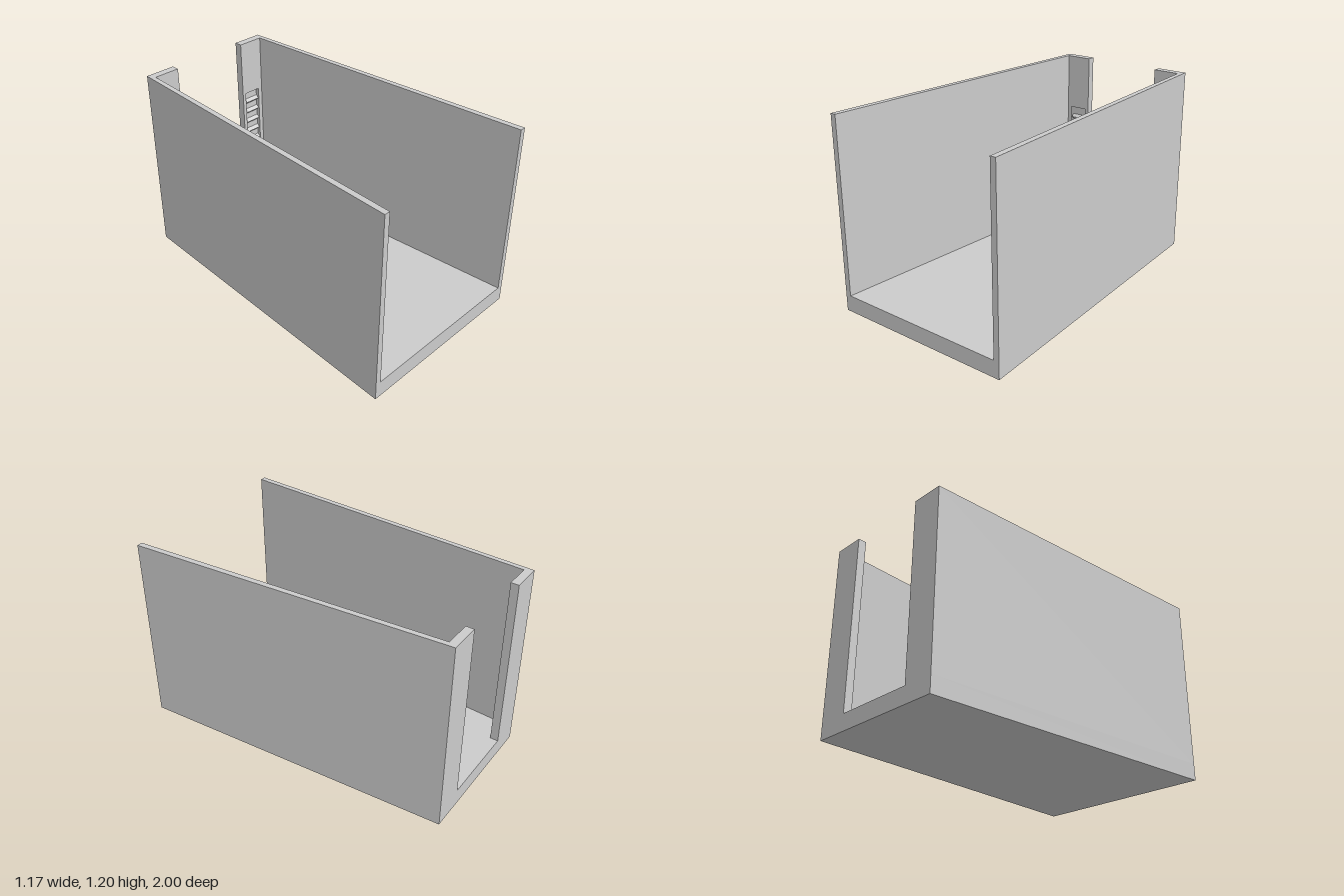
import * as THREE from 'three';

const HEIGHT = 1.195, FLOOR = 0.103;
const material = new THREE.MeshStandardMaterial({ color: 0xcccccc, flatShading: true });

const polygon = (points) => new THREE.Shape(points.map(([x, y]) => new THREE.Vector2(x, y)));
const extrude = (shape, depth) => new THREE.ExtrudeGeometry(shape, { depth, bevelEnabled: false });

// Extrude a plan outline of [x, z] points upwards from y
function fromPlan(points, y, height) {
  const geometry = extrude(polygon(points.map(([x, z]) => [x, -z])), height);
  return geometry.rotateX(-Math.PI / 2).translate(0, y, 0);
}

function add(parent, name, geometry) {
  const mesh = new THREE.Mesh(geometry, material);
  mesh.name = name;
  parent.add(mesh);
}

export function createModel() {
  const model = new THREE.Group();
  model.name = 'taperedChannel';

  // Tapered floor slab
  add(model, 'floor', fromPlan([[-0.583, 1], [0.583, 1], [0.453, -1], [-0.453, -1]], 0, FLOOR));

  for (const side of [1, -1]) {
    const half = new THREE.Group();
    half.name = side > 0 ? 'leftSide' : 'rightSide';
    model.add(half);

    // Slanting side wall, turning into the thin back of the end return
    const plan = [[0.583, 1], [0.453, -1], [0.257, -1], [0.257, -0.975], [0.4234, -0.975], [0.547, 1]];
    add(half, 'sideWall', fromPlan(plan.map(([x, z]) => [side * x, z]), FLOOR, HEIGHT - FLOOR));

    // Inner face of the end return, with a tall recess cut through it
    const rect = (x0, x1, y0, y1) => [[x0, y0], [x1, y0], [x1, y1], [x0, y1]].map(([x, y]) => [side * x, y]);
    const face = polygon(rect(0.257, 0.43, FLOOR, HEIGHT));
    face.holes.push(polygon(rect(0.281, 0.396, 0.162, 0.836)));
    add(half, 'endReturn', extrude(face, 0.025).translate(0, 0, -0.975));

    // Horizontal ridges at the bottom of the recess
    for (let i = 0; i < 8; i++) {
      const ridge = extrude(polygon([[0, -0.018], [0, 0.018], [-0.02, 0]]), 0.115);
      ridge.rotateY(Math.PI / 2).translate(side * 0.3385 - 0.0575, 0.237 + i * 0.075, -0.975);
      add(half, 'ridge', ridge);
    }
  }
  return model;
}
